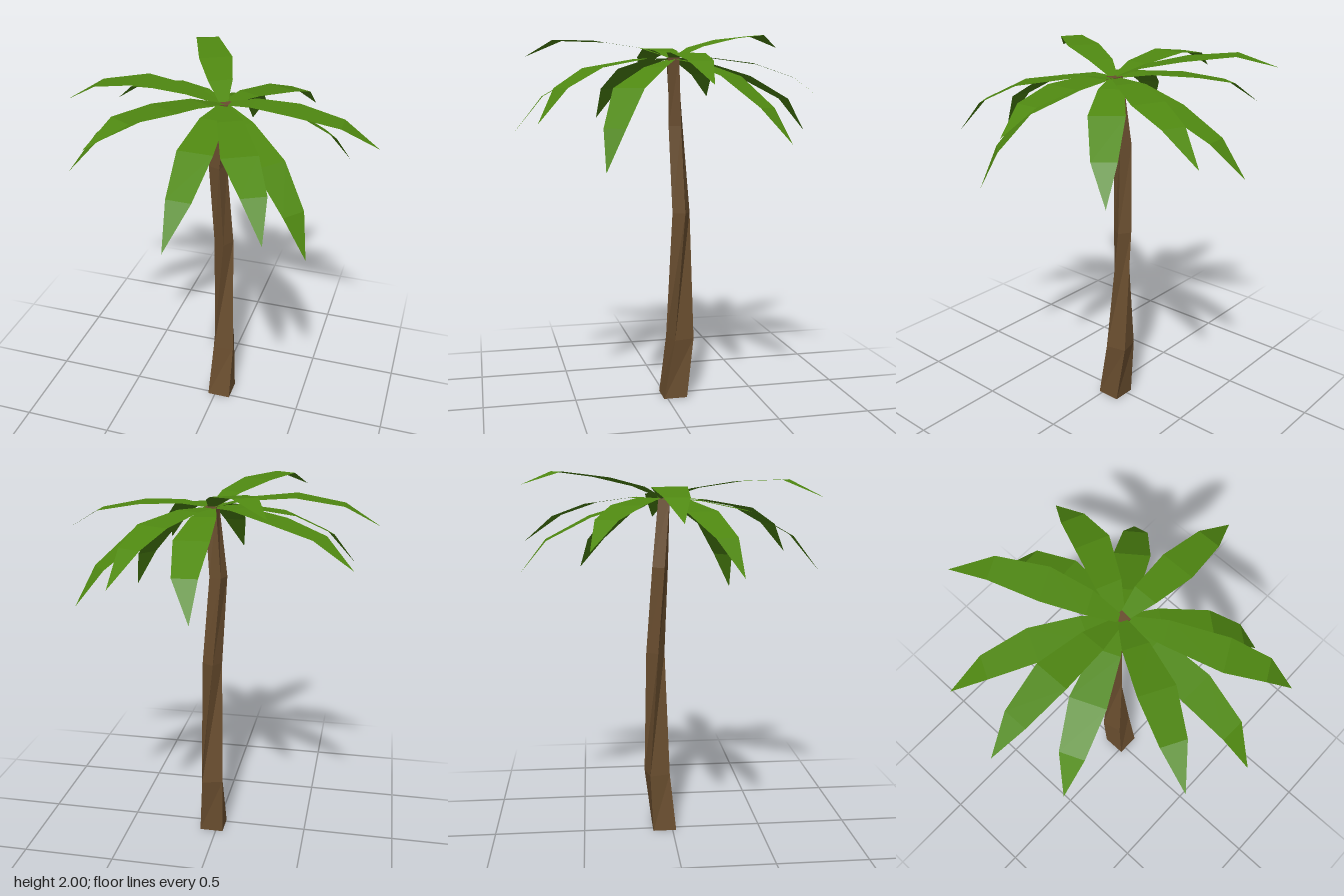
import * as THREE from 'three';

const bark = new THREE.MeshStandardMaterial({ color: 0x6a4e2f });
bark.name = 'bark brown';
const leaf = new THREE.MeshStandardMaterial({ color: 0x4f8811, side: THREE.DoubleSide });
leaf.name = 'leaf green';

const V = (x, y, z) => new THREE.Vector3(x, y, z);
const CROWN = V(0.03, 1.855, -0.04);

// Trunk cross-sections: height, centre x, centre z, side length, twist in degrees
const TRUNK = [
  [0, 0.025, -0.045, 0.13, 0],
  [0.33, 0.026, -0.083, 0.114, 13],
  [1.03, 0.02, -0.09, 0.074, 58],
  [1.5, -0.008, -0.065, 0.068, 70],
  [1.86, 0.03, -0.04, 0.06, 85],
];

// Fronds: midrib points (x, y, z) at the widest part, near the end, and at the tip
const FRONDS = {
  left: [V(0.4, 1.87, -0.028), V(0.63, 1.825, -0.03), V(0.815, 1.712, -0.045)],
  leftBack: [V(0.348, 1.76, -0.265), V(0.52, 1.605, -0.398), V(0.62, 1.43, -0.495)],
  backLeft: [V(0.24, 1.825, -0.425), V(0.3, 1.755, -0.615), V(0.355, 1.61, -0.8)],
  back: [V(0.05, 1.765, -0.43), V(0.03, 1.645, -0.665), V(-0.02, 1.47, -0.807)],
  backRight: [V(-0.115, 1.97, -0.37), V(-0.23, 2.0, -0.59), V(-0.35, 1.94, -0.755)],
  rightBack: [V(-0.33, 1.84, -0.25), V(-0.545, 1.785, -0.355), V(-0.713, 1.655, -0.435)],
  right: [V(-0.4, 1.93, -0.053), V(-0.64, 1.89, -0.04), V(-0.82, 1.785, -0.025)],
  rightFront: [V(-0.355, 1.81, 0.115), V(-0.56, 1.7, 0.205), V(-0.695, 1.525, 0.27)],
  frontRight: [V(-0.147, 1.95, 0.33), V(-0.275, 1.96, 0.54), V(-0.385, 1.875, 0.71)],
  front: [V(0.03, 1.79, 0.415), V(0.03, 1.66, 0.65), V(0, 1.47, 0.8)],
  frontLeft: [V(0.243, 1.8, 0.417), V(0.357, 1.7, 0.588), V(0.43, 1.53, 0.706)],
  leftFront: [V(0.345, 1.7, 0.255), V(0.49, 1.51, 0.35), V(0.57, 1.305, 0.405)],
};
const HALF_WIDTHS = [0.02, 0.064, 0.089, 0.062, 0];

// Square column, moved ring by ring onto the twisted cross-sections
function makeTrunk() {
  const geo = new THREE.CylinderGeometry(1, 1, 1, 4, 4).toNonIndexed();
  const p = geo.attributes.position;
  for (let i = 0; i < p.count; i++) {
    const [y, cx, cz, side, twist] = TRUNK[Math.round((p.getY(i) + 0.5) * 4)];
    const corner = V(p.getX(i), 0, p.getZ(i)).multiplyScalar(side / Math.SQRT2);
    corner.applyAxisAngle(V(0, 1, 0), Math.PI / 4 + THREE.MathUtils.degToRad(twist));
    p.setXYZ(i, cx + corner.x, y, cz + corner.z);
  }
  geo.computeVertexNormals();
  return new THREE.Mesh(geo, bark);
}

// Bent strip, level across its width, tapering to a point
function makeFrond([mid, end, tip]) {
  const inner = CROWN.clone().lerp(mid, 0.42);
  inner.y += 0.018;
  const rib = [CROWN, inner, mid, end, tip];
  const across = V(tip.z - CROWN.z, 0, CROWN.x - tip.x).normalize();
  const edge = (i, s) => rib[i].clone().addScaledVector(across, s * HALF_WIDTHS[i]);
  const pts = [];
  for (let i = 0; i < 4; i++) {
    const a = edge(i, -1), b = edge(i, 1), c = edge(i + 1, 1), d = edge(i + 1, -1);
    pts.push(a, d, b);
    if (i < 3) pts.push(b, d, c);
  }
  const geo = new THREE.BufferGeometry().setFromPoints(pts);
  geo.computeVertexNormals();
  return new THREE.Mesh(geo, leaf);
}

export function createModel() {
  const palm = new THREE.Group();
  palm.name = 'palmTree';
  const trunk = makeTrunk();
  trunk.name = 'trunk';
  const crown = new THREE.Group();
  crown.name = 'crown';
  for (const [place, points] of Object.entries(FRONDS)) {
    const frond = makeFrond(points);
    frond.name = place + 'Frond';
    crown.add(frond);
  }
  palm.add(trunk, crown);
  return palm;
}
